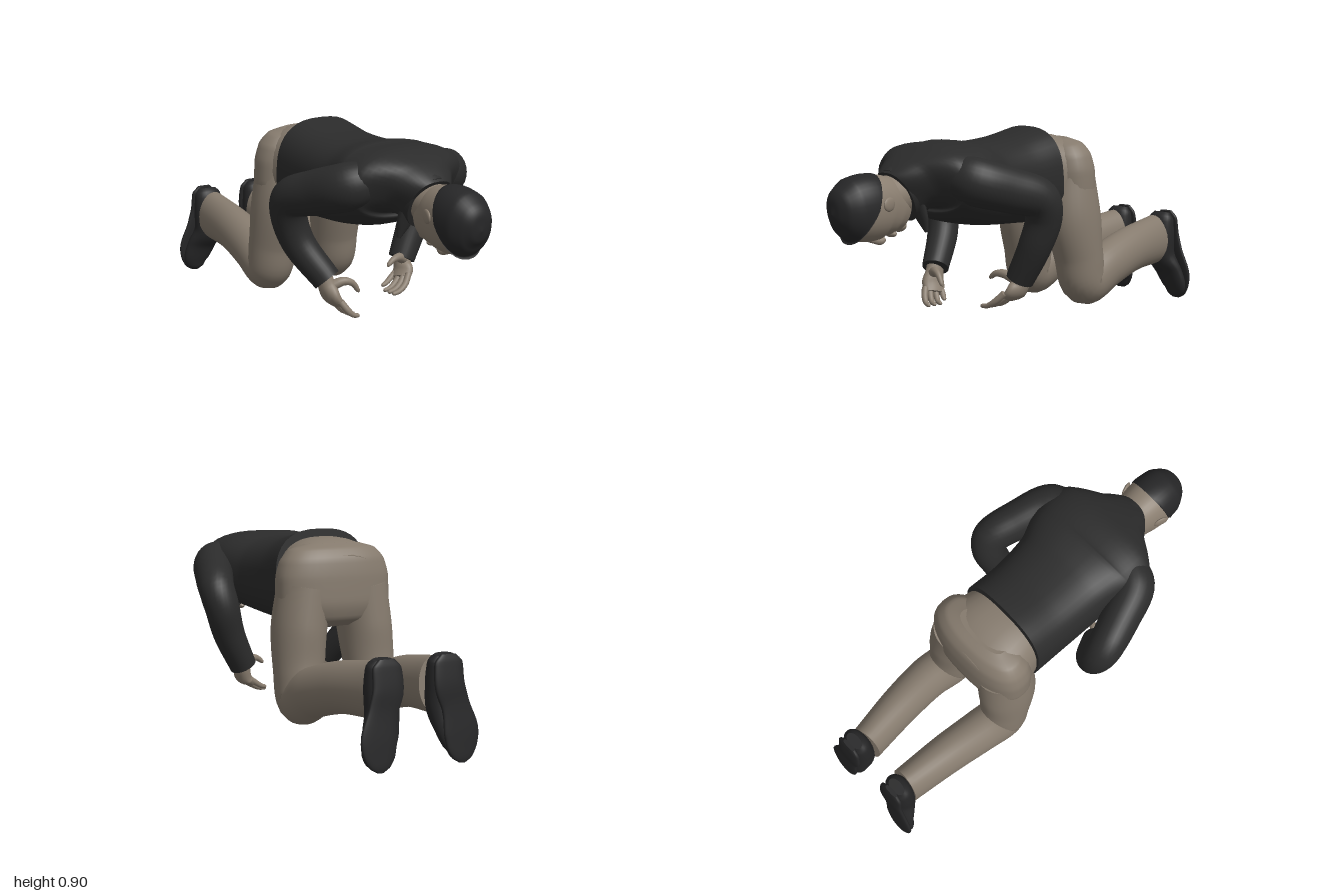
import * as THREE from 'three';

const V = (x, y, z) => new THREE.Vector3(x, y, z);

// Smooth body through sections [x, y, z, halfWidth, halfDepth]; p > 2 makes the outline boxier
function loft(sections, { ref = V(1, 0, 0), p = 2, rings = 30, sides = 28 } = {}) {
  const path = new THREE.CatmullRomCurve3(sections.map(s => V(s[0], s[1], s[2])));
  const size = new THREE.CatmullRomCurve3(sections.map(s => V(s[3], s[4], s[0] * 1e-4)));
  const pos = [], index = [];
  const round = v => Math.sign(v) * Math.abs(v) ** (2 / p);
  for (let i = 0; i <= rings; i++) {
    const c = path.getPoint(i / rings), r = size.getPoint(i / rings), t = path.getTangent(i / rings);
    const side = ref.clone().addScaledVector(t, -ref.dot(t)).normalize();
    const up = t.clone().cross(side);
    for (let j = 0; j < sides; j++) {
      const a = j / sides * Math.PI * 2;
      const q = c.clone().addScaledVector(side, r.x * round(Math.cos(a))).addScaledVector(up, r.y * round(Math.sin(a)));
      pos.push(q.x, q.y, q.z);
      if (i < rings) {
        const k = (j + 1) % sides, A = i * sides + j, B = i * sides + k;
        index.push(A, B, B + sides, A, B + sides, A + sides);
      }
    }
  }
  // End caps with their own vertices so the rims stay crisp
  for (const end of [0, 1]) {
    const from = end * rings * sides * 3, base = pos.length / 3, c = path.getPoint(end);
    pos.push(...pos.slice(from, from + sides * 3), c.x, c.y, c.z);
    for (let j = 0; j < sides; j++) {
      const k = base + (j + 1) % sides;
      index.push(base + sides, end ? base + j : k, end ? k : base + j);
    }
  }
  const g = new THREE.BufferGeometry();
  g.setAttribute('position', new THREE.Float32BufferAttribute(pos, 3));
  g.setIndex(index);
  g.computeVertexNormals();
  return g;
}

export function createModel() {
  const model = new THREE.Group();
  const material = (name, color) => Object.assign(new THREE.MeshStandardMaterial({ color }), { name });
  const skin = material('skin', 0x8a7e70);
  const cloth = material('trouser cloth', 0x857a6d);
  const black = material('jacket cloth', 0x2b2b2b);
  const dark = material('hair and shoe black', 0x262627);

  const add = (name, geo, mat) => {
    const m = new THREE.Mesh(geo, mat);
    m.name = name;
    model.add(m);
    return m;
  };
  const ball = (name, mat, at, scale) => {
    const m = add(name, new THREE.SphereGeometry(1, 20, 14), mat);
    m.position.set(...at);
    m.scale.set(...scale);
    return m;
  };

  // Jacket body, from hem to neck opening
  add('jacket', loft([
    [-0.02, 0.68, -0.125, 0.232, 0.225], [-0.02, 0.665, 0.06, 0.235, 0.2],
    [-0.012, 0.665, 0.25, 0.25, 0.187], [0, 0.69, 0.41, 0.295, 0.178],
    [0, 0.712, 0.52, 0.29, 0.143], [0, 0.688, 0.595, 0.165, 0.125], [0, 0.645, 0.655, 0.1, 0.122],
  ], { p: 2.6, rings: 40, sides: 40 }), black);
  add('collar', loft([
    [0, 0.67, 0.605, 0.13, 0.128], [0, 0.652, 0.64, 0.11, 0.13], [0, 0.642, 0.66, 0.102, 0.128],
  ], { rings: 6 }), black);
  for (const s of [-1, 1]) {
    add('lapel', loft([
      [s * 0.06, 0.6, 0.6, 0.05, 0.025], [s * 0.075, 0.54, 0.585, 0.035, 0.018], [s * 0.09, 0.485, 0.575, 0.008, 0.008],
    ], { rings: 8, sides: 12 }), black);
  }

  // Trousers: waist running into the jacket, and the seat
  add('waist', loft([
    [-0.02, 0.665, -0.04, 0.205, 0.195], [-0.02, 0.668, -0.14, 0.225, 0.203],
    [-0.018, 0.665, -0.2, 0.238, 0.2], [-0.015, 0.655, -0.265, 0.23, 0.185], [-0.013, 0.645, -0.315, 0.19, 0.16],
  ], { p: 2.5, rings: 20, sides: 36 }), cloth);
  add('seat', loft([
    [-0.012, 0.485, -0.245, 0.13, 0.06], [-0.012, 0.52, -0.244, 0.225, 0.112],
    [-0.012, 0.6, -0.242, 0.27, 0.133], [-0.012, 0.7, -0.238, 0.268, 0.132], [-0.012, 0.775, -0.234, 0.248, 0.122],
    [-0.012, 0.825, -0.23, 0.205, 0.092], [-0.012, 0.848, -0.228, 0.13, 0.05],
  ], { p: 2.4, sides: 40 }), cloth);

  for (const s of [-1, 1]) {
    const side = s > 0 ? 'left' : 'right';

    // Leg: hip, knee, ankle
    const x = s > 0 ? [0.125, 0.155, 0.168, 0.174, 0.172, 0.145, 0.105] : [-0.145, -0.172, -0.185, -0.192, -0.19, -0.178, -0.165];
    add(side + 'Leg', loft([
      [x[0], 0.66, -0.24, 0.125, 0.125], [x[1], 0.48, -0.242, 0.122, 0.138],
      [x[2], 0.3, -0.268, 0.114, 0.118], [x[3], 0.175, -0.3, 0.106, 0.113],
      [x[4], 0.225, -0.43, 0.1, 0.112], [x[5], 0.28, -0.63, 0.092, 0.112], [x[6], 0.307, -0.87, 0.08, 0.122],
    ], { rings: 48 }), cloth);

    // Shoe pointing down, sole facing back
    const heel = s > 0 ? 0.115 : -0.173, toe = heel + s * 0.048, mid = (heel + toe) / 2;
    add(side + 'Shoe', loft([
      [heel, 0.44, -0.915, 0.045, 0.025], [heel, 0.41, -0.908, 0.068, 0.048], [heel, 0.31, -0.905, 0.074, 0.058],
      [heel, 0.22, -0.913, 0.073, 0.058], [mid, 0.14, -0.945, 0.078, 0.039],
      [toe, 0.07, -0.962, 0.069, 0.031], [toe, 0.025, -0.97, 0.046, 0.024], [toe, 0.006, -0.972, 0.018, 0.013],
    ], { p: 2.1 }), dark);
    add(side + 'Sole', loft([
      [heel, 0.445, -0.945, 0.035, 0.01], [heel, 0.41, -0.95, 0.066, 0.013], [heel, 0.32, -0.962, 0.07, 0.013],
      [mid, 0.24, -0.967, 0.066, 0.012], [toe, 0.13, -0.978, 0.082, 0.012],
      [toe, 0.06, -0.984, 0.07, 0.012], [toe, 0.018, -0.988, 0.044, 0.011], [toe, 0, -0.988, 0.014, 0.009],
    ], { p: 3 }), dark);

    // Sleeve: shoulder, elbow, cuff
    const z0 = s > 0 ? 0.165 : 0.255;
    add(side + 'Sleeve', loft([
      [s * 0.2, 0.725, 0.485, 0.085, 0.095], [s * 0.272, 0.705, 0.445, 0.095, 0.105],
      [s * 0.33, 0.665, 0.31, 0.09, 0.1], [s * 0.372, 0.618, 0.178, 0.083, 0.09],
      [s * 0.362, 0.54, 0.142, 0.08, 0.082], [s * 0.322, 0.41, 0.155, 0.073, 0.075],
      [s * 0.243, 0.25, z0 + 0.01, 0.062, 0.064],
    ], { ref: V(s * 0.8, 0, 0.6), rings: 40 }), black);

    // Hand: palm, four curled fingers and a thumb; the left one is held a little higher
    const along = { ref: V(0, 0, 1) };
    const lift = s > 0 ? 0.028 : 0, reach = s > 0 ? -0.022 : 0.018;
    add(side + 'Palm', loft([
      [s * 0.255, 0.275, z0, 0.04, 0.035], [s * 0.247, 0.225, z0 + 0.012, 0.046, 0.037],
      [s * 0.235, 0.18 + lift * 0.5, z0 + 0.03, 0.058, 0.034], [s * 0.205, 0.14 + lift, z0 + 0.045, 0.048, 0.02],
    ], { ...along, rings: 14, sides: 16 }), skin);
    for (let i = 0; i < 4; i++) {
      const z = z0 + 0.002 + i * 0.028, f = z0 + 0.006 + i * 0.034, n = i === 0 ? 0.014 : 0;
      const tip = 0.135 + reach + n, y = 0.098 + lift + n;
      add(side + 'Finger', loft([
        [s * 0.225, 0.165 + lift, z, 0.015, 0.016], [s * (0.195 + reach * 0.3), y + 0.028, f, 0.014, 0.015],
        [s * (0.165 + reach * 0.7), y + 0.005, f + 0.008, 0.012, 0.012], [s * tip, y, f + 0.012, 0.009, 0.009],
        [s * (tip - 0.006), y, f + 0.012, 0.003, 0.003],
      ], { ...along, rings: 14, sides: 10 }), skin);
    }
    add(side + 'Thumb', loft([
      [s * 0.235, 0.225 + lift, z0 + 0.03, 0.026, 0.026], [s * 0.19, 0.245 + lift, z0 + 0.055, 0.019, 0.02],
      [s * 0.15, 0.235 + lift * 1.3, z0 + 0.068, 0.014, 0.015], [s * 0.12, 0.195 + lift * 2, z0 + 0.072, 0.01, 0.01],
      [s * 0.114, 0.187 + lift * 2, z0 + 0.072, 0.003, 0.003],
    ], { ...along, rings: 14, sides: 10 }), skin);

    ball(side + 'Ear', skin, [s * 0.115, 0.625, 0.79], [0.01, 0.03, 0.036]).rotation.y = s * 0.3;
  }

  // Head hanging forward, face down
  const skull = () => loft([
    [0, 0.54, 0.63, 0.03, 0.03], [0, 0.55, 0.647, 0.062, 0.066], [0, 0.574, 0.69, 0.09, 0.106],
    [0, 0.597, 0.75, 0.106, 0.135], [0, 0.603, 0.83, 0.115, 0.142], [0, 0.598, 0.91, 0.108, 0.132],
    [0, 0.594, 0.962, 0.079, 0.095], [0, 0.59, 0.987, 0.042, 0.05], [0, 0.589, 0.996, 0.002, 0.002],
  ], { p: 2.2, rings: 40, sides: 36 });
  add('head', skull(), skin);
  add('neck', loft([
    [0, 0.67, 0.58, 0.085, 0.095], [0, 0.645, 0.67, 0.088, 0.092], [0, 0.63, 0.78, 0.095, 0.1],
  ], { rings: 10 }), skin);
  add('nose', loft([
    [0, 0.475, 0.83, 0.01, 0.014], [0, 0.462, 0.785, 0.012, 0.016],
    [0, 0.455, 0.755, 0.019, 0.017], [0, 0.463, 0.738, 0.016, 0.012],
  ], { rings: 12, sides: 14 }), skin);
  ball('lips', skin, [0, 0.482, 0.7], [0.036, 0.016, 0.018]);
  ball('chin', skin, [0, 0.515, 0.66], [0.045, 0.03, 0.03]);

  // Hair: a slightly larger skull cut off along a slanted hairline
  const hair = skull();
  const h = hair.attributes.position;
  for (let i = 0; i < h.count; i++) {
    const y = 0.6 + (h.getY(i) - 0.6) * 1.03;
    const line = y > 0.6 ? 0.84 - (y - 0.6) * 0.3 : 0.84 + (0.6 - y) * 0.6;
    h.setXYZ(i, h.getX(i) * 1.03, y, Math.max(h.getZ(i) + 0.004, line));
  }
  hair.computeVertexNormals();
  add('hair', hair, dark);

  return model;
}
